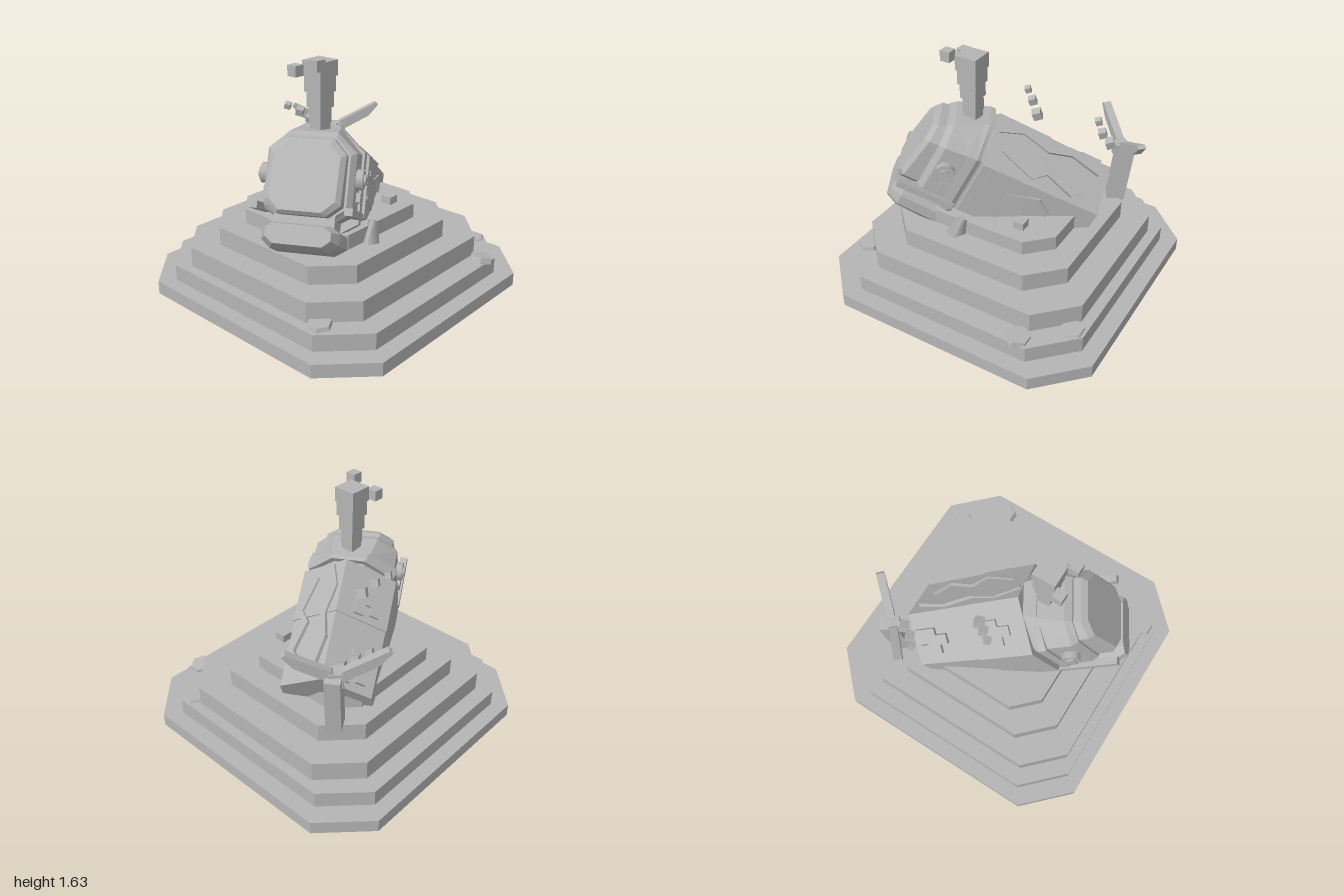
import * as THREE from 'three';

const stone = new THREE.MeshStandardMaterial({ color: 0xb5b5b5 });
stone.name = 'grey stone';

function add(parent, name, geometry, x = 0, y = 0, z = 0) {
  const mesh = new THREE.Mesh(geometry, stone);
  mesh.name = name;
  mesh.position.set(x, y, z);
  parent.add(mesh);
  return mesh;
}
const box = (w, h, d) => new THREE.BoxGeometry(w, h, d);

// Closed faceted hull through rings of [x, y], each at its own z (back to front)
function loft(rings) {
  const pos = [], n = rings[0].pts.length;
  const P = (i, j) => [...rings[i].pts[j % n], rings[i].z + (rings[i].lean || 0) * rings[i].pts[j % n][1]];
  const tri = (a, b, c) => pos.push(...a, ...b, ...c);
  for (let i = 0; i < rings.length - 1; i++) for (let j = 0; j < n; j++) {
    tri(P(i, j), P(i, j + 1), P(i + 1, j + 1));
    tri(P(i, j), P(i + 1, j + 1), P(i + 1, j));
  }
  const last = rings.length - 1;
  for (let j = 1; j < n - 1; j++) {
    tri(P(0, 0), P(0, j + 1), P(0, j));
    tri(P(last, 0), P(last, j), P(last, j + 1));
  }
  const g = new THREE.BufferGeometry();
  g.setAttribute('position', new THREE.Float32BufferAttribute(pos, 3));
  g.computeVertexNormals();
  return g;
}

// Octagonal head section, anticlockwise
const oct = (z, w, wt, top, sh, low, bot, lean) => ({
  z, lean, pts: [[w, low], [w, sh], [wt, top], [-wt, top], [-w, sh], [-w, low], [-wt, bot], [wt, bot]],
});
// Six-sided body section with a ridge on top
const hex = (z, w, top, sh) => ({ z, pts: [[w, -0.28], [w, sh], [0, top], [-w, sh], [-w, -0.28], [0, -0.48]] });

// Chamfered step of the plinth
function step(x0, x1, z0, z1, y0, y1, c) {
  const s = new THREE.Shape([
    [x0 + c, -z1], [x1 - c, -z1], [x1, -z1 + c], [x1, -z0 - c],
    [x1 - c, -z0], [x0 + c, -z0], [x0, -z0 - c], [x0, -z1 + c],
  ].map(p => new THREE.Vector2(...p)));
  return new THREE.ExtrudeGeometry(s, { depth: y1 - y0, bevelEnabled: false }).rotateX(-Math.PI / 2).translate(0, y0, 0);
}

// Raised zigzag made of bars between successive points; normal gives the face direction
function zigzag(parent, name, points, normal) {
  for (let i = 0; i < points.length - 1; i++) {
    const a = new THREE.Vector3(...points[i]), b = new THREE.Vector3(...points[i + 1]);
    const dir = b.clone().sub(a), len = dir.length();
    dir.normalize();
    const side = new THREE.Vector3().crossVectors(normal, dir).normalize();
    const up = new THREE.Vector3().crossVectors(dir, side);
    const bar = add(parent, name, box(0.036, 0.03, len + 0.02));
    bar.quaternion.setFromRotationMatrix(new THREE.Matrix4().makeBasis(side, up, dir));
    bar.position.copy(a.add(b).multiplyScalar(0.5));
  }
}

export function createModel() {
  const model = new THREE.Group();
  model.name = 'whaleMonument';

  // Stepped plinth
  [
    [-1, 1, -1, 1, 0, 0.09, 0.29],
    [-0.9, 0.89, -0.9, 0.89, 0.09, 0.2, 0.26],
    [-0.83, 0.82, -0.79, 0.75, 0.2, 0.335, 0.24],
    [-0.67, 0.645, -0.65, 0.585, 0.335, 0.46, 0.21],
    [-0.5, 0.49, -0.525, 0.41, 0.46, 0.56, 0.16],
  ].forEach(s => add(model, 'plinthStep', step(...s)));

  // Whale leaning out of the plinth: local x = its left, y = its back, z = forward
  const whale = new THREE.Group();
  whale.name = 'whale';
  whale.rotation.set(-28 * Math.PI / 180, -Math.PI / 3, 0, 'YXZ');
  whale.position.set(-0.03, 0.75, -0.052);
  model.add(whale);

  add(whale, 'rearBody', loft([hex(-0.6, 0.295, 0.32, 0.11), hex(-0.13, 0.305, 0.33, 0.11)]));
  add(whale, 'midBody', loft([hex(-0.13, 0.312, 0.337, 0.115), hex(0.25, 0.315, 0.34, 0.115)]));
  add(whale, 'neck', loft([oct(0.22, 0.27, 0.1, 0.27, 0.1, -0.3, -0.44), oct(0.3, 0.27, 0.1, 0.26, 0.1, -0.3, -0.44)]));
  add(whale, 'collar', loft([
    oct(0.27, 0.29, 0.11, 0.3, 0.12, -0.33, -0.45), oct(0.3, 0.305, 0.12, 0.295, 0.12, -0.33, -0.45),
    oct(0.35, 0.3, 0.12, 0.275, 0.12, -0.33, -0.44),
  ]));
  add(whale, 'head', loft([
    oct(0.33, 0.285, 0.13, 0.275, 0.11, -0.28, -0.37), oct(0.51, 0.28, 0.15, 0.21, 0.09, -0.28, -0.36),
    oct(0.55, 0.25, 0.15, 0.175, 0.07, -0.26, -0.33),
  ]));
  add(whale, 'snout', loft([
    oct(0.5, 0.235, 0.15, 0.17, 0.07, -0.25, -0.32), oct(0.62, 0.235, 0.15, 0.15, 0.06, -0.25, -0.32, -0.15),
    oct(0.65, 0.205, 0.13, 0.12, 0.04, -0.23, -0.3, -0.15),
  ]));
  add(whale, 'lowerJaw', loft([
    oct(0.2, 0.24, 0.18, -0.4, -0.43, -0.5, -0.56), oct(0.6, 0.24, 0.18, -0.37, -0.41, -0.48, -0.53),
    oct(0.68, 0.2, 0.15, -0.38, -0.41, -0.46, -0.5),
  ]));
  add(whale, 'throat', box(0.38, 0.16, 0.34), 0, -0.37, 0.38);

  // Eyes and mouth lines on both sides
  for (const s of [1, -1]) {
    const eye = add(whale, 'eye', new THREE.CylinderGeometry(0.065, 0.065, 0.06, 8), s * 0.295, -0.06, 0.44);
    eye.rotation.z = Math.PI / 2;
    const pupil = add(whale, 'pupil', new THREE.CylinderGeometry(0.035, 0.035, 0.08, 8), s * 0.3, -0.06, 0.44);
    pupil.rotation.z = Math.PI / 2;
    add(whale, 'cheekBlock', box(0.04, 0.06, 0.06), s * 0.29, -0.17, 0.4);
    add(whale, 'mouthLine', box(0.05, 0.045, 0.4), s * 0.29, -0.28, 0.48);
  }

  // Raised veins on the left of the back and the left flank
  const roof = (z, x) => [x, 0.338 - 0.72 * x, z];
  const roofNormal = new THREE.Vector3(0.58, 0.81, 0);
  zigzag(whale, 'backVein', [[0.22, 0.09], [0.06, 0.04], [-0.14, 0.08], [-0.31, 0.04], [-0.52, 0.08]].map(p => roof(...p)), roofNormal);
  zigzag(whale, 'backVein', [[0.15, 0.19], [-0.08, 0.26], [-0.175, 0.2], [-0.376, 0.26], [-0.47, 0.18]].map(p => roof(...p)), roofNormal);
  const flankNormal = new THREE.Vector3(1, 0, 0);
  zigzag(whale, 'flankVein', [[0.305, 0.01, 0.17], [0.305, -0.03, 0.02], [0.305, 0.03, -0.19], [0.3, -0.04, -0.29]], flankNormal);
  zigzag(whale, 'flankVein', [[0.305, -0.15, 0.21], [0.305, -0.2, 0]], flankNormal);

  // Broken plates on the right of the back
  for (const z of [0.02, -0.45]) {
    [[-0.17, 0.04], [-0.22, -0.02], [-0.13, -0.04]].forEach(([x, dz]) => {
      const plate = add(whale, 'brokenPlate', box(0.07, 0.025, 0.15), x, 0.345 + 0.72 * x, z + dz);
      plate.rotation.z = 0.624;
    });
  }

  // Tail stem and raised flukes
  const stem = add(model, 'tailStem', box(0.12, 0.42, 0.1), 0.58, 0.66, -0.52);
  stem.rotation.set(0, 0.55, -0.12, 'YXZ');
  add(model, 'tailBlock', box(0.09, 0.1, 0.09), 0.57, 0.84, -0.52).rotation.y = 0.78;
  for (const s of [1, -1]) {
    const arm = new THREE.Group();
    arm.name = 'fluke';
    arm.position.set(0.57, 0.84, -0.53);
    arm.rotation.set(0, -0.765 + (s < 0 ? Math.PI : 0), 0.49, 'YXZ');
    model.add(arm);
    const s2 = new THREE.Shape([[0, -0.03], [0.27, -0.03], [0.37, 0.01], [0.36, 0.035], [0.06, 0.04], [0, 0.02]].map(p => new THREE.Vector2(...p)));
    add(arm, 'flukeBlade', new THREE.ExtrudeGeometry(s2, { depth: 0.055, bevelEnabled: false }), 0, 0, -0.0275);
  }

  // Blocky water spout, widening upwards
  [0.09, 0.1, 0.12, 0.14, 0.155].forEach((w, i) =>
    add(model, 'spout', box(w, i ? 0.1 : 0.2, w), -0.235, i ? 1.15 + 0.1 * i : 1.1, 0.077));
  add(model, 'sprayCube', box(0.07, 0.07, 0.07), -0.355, 1.6, 0.167);
  add(model, 'sprayCube', box(0.07, 0.07, 0.07), -0.355, 1.54, -0.015);

  // Floating fragments and one loose cube
  [
    [-0.08, 1.19, -0.37, 0.04], [-0.015, 1.145, -0.32, 0.05], [0.05, 1.08, -0.27, 0.06],
    [0.36, 0.95, -0.6, 0.045], [0.42, 0.9, -0.545, 0.055], [0.5, 0.87, -0.5, 0.06],
  ].forEach(([x, y, z, s]) => { add(model, 'fragment', box(s, s, s), x, y, z).rotation.set(0.25, 0.5, 0.2); });
  add(model, 'looseCube', box(0.075, 0.075, 0.075), 0.24, 0.575, 0.27);

  // Small fin at the waterline
  const fin = add(model, 'fin', new THREE.CylinderGeometry(0.03, 0.07, 0.17, 4), -0.14, 0.51, 0.43);
  fin.rotation.set(0, 0.3, -0.35);

  // Flat stones lying on the second step
  [[-0.8, 0.21, 0.59, 0.03, 0], [0.55, 0.21, 0.83, 0.04, -0.2], [0.8, 0.205, 0.6, 0.02, 0]].forEach(([x, y, z, h, tilt]) => {
    const g = new THREE.CylinderGeometry(0.075, 0.085, h, 6).toNonIndexed();
    g.computeVertexNormals();
    add(model, 'flatStone', g, x, y, z).rotation.z = tilt;
  });
  return model;
}
